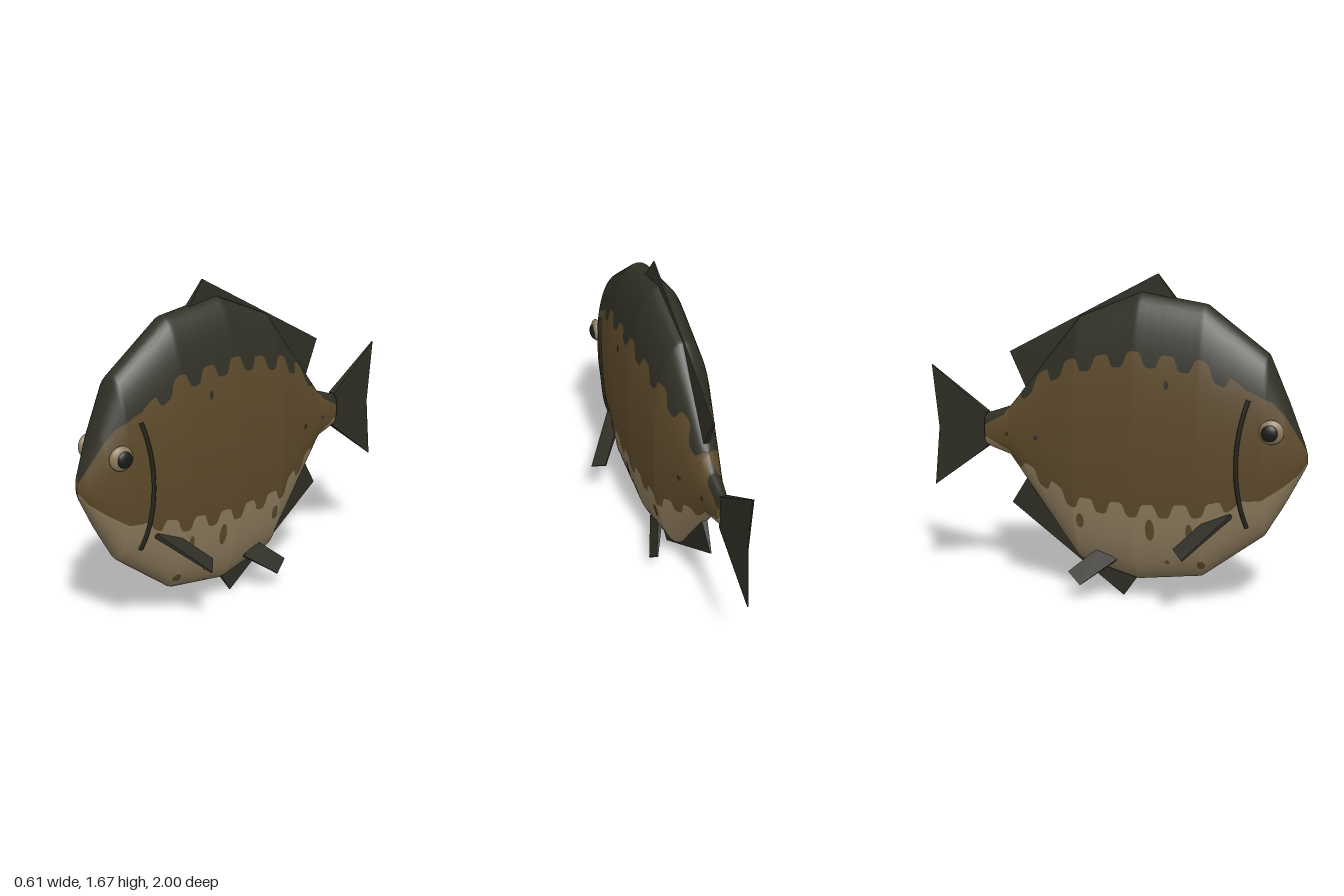
import * as THREE from 'three';
import { ConvexGeometry } from 'three/addons/geometries/ConvexGeometry.js';

const mat = (name, color, side = THREE.FrontSide) => {
  const m = new THREE.MeshStandardMaterial({ color, side });
  m.name = name;
  return m;
};
const V = (x, y, z) => new THREE.Vector3(x, y, z);

// Body stations from nose to tail: z, top y, bottom y, half width
const STATIONS = [
  [1, 0.825, 0.78, 0.008], [0.985, 0.875, 0.745, 0.04], [0.9, 1.085, 0.575, 0.1],
  [0.8, 1.31, 0.4, 0.137], [0.49, 1.54, 0.16, 0.175], [0.16, 1.59, 0.11, 0.182],
  [-0.16, 1.46, 0.19, 0.157], [-0.55, 0.975, 0.715, 0.055], [-0.65, 0.94, 0.745, 0.036],
  [-0.69, 0.93, 0.76, 0.032],
];
// Colour borders along the body: z, y
const BACK_EDGE = [
  [1, 0.83], [0.985, 0.87], [0.9, 1.02], [0.84, 1.09], [0.74, 1.14], [0.65, 1.17], [0.5, 1.25],
  [0.15, 1.28], [-0.18, 1.22], [-0.35, 1.14], [-0.5, 1.02], [-0.58, 0.93], [-0.69, 0.87],
];
const BELLY_EDGE = [
  [1, 0.79], [0.97, 0.74], [0.9, 0.68], [0.8, 0.61], [0.7, 0.6], [0.57, 0.55], [0.4, 0.53],
  [0.2, 0.515], [-0.1, 0.52], [-0.2, 0.54], [-0.35, 0.62], [-0.45, 0.66], [-0.55, 0.74], [-0.69, 0.81],
];
const P = 0.92; // slightly squared ellipse

// Linear lookup in a table sorted by falling z
function lookup(table, z, col) {
  let i = 0;
  while (i < table.length - 2 && z < table[i + 1][0]) i++;
  const a = table[i], b = table[i + 1];
  const t = THREE.MathUtils.clamp((a[0] - z) / (a[0] - b[0]), 0, 1);
  return a[col] + (b[col] - a[col]) * t;
}
function section(z) {
  const top = lookup(STATIONS, z, 1), bottom = lookup(STATIONS, z, 2);
  return { c: (top + bottom) / 2, h: (top - bottom) / 2, w: lookup(STATIONS, z, 3) };
}
function angleAt(s, y) {
  const u = THREE.MathUtils.clamp((y - s.c) / s.h, -1, 1);
  return Math.acos(Math.sign(u) * Math.abs(u) ** (1 / P));
}
function surfaceX(z, y) {
  const s = section(z);
  return s.w * Math.abs(Math.sin(angleAt(s, y))) ** P;
}
// Rounded scallops that fade out toward the head and tail
function scallop(z, crest, period) {
  const fade = THREE.MathUtils.smoothstep(z, -0.6, -0.42) * (1 - THREE.MathUtils.smoothstep(z, 0.62, 0.74));
  return 0.036 * fade * Math.tanh(2.5 * (Math.cos(((z - crest) / period) * 2 * Math.PI) + 0.1));
}

// Lofted body with back, flank and belly bands
function bodyGeometry() {
  const slices = 170, n = 8, half = 3 * n, ring = 2 * half;
  const pos = [], idx = [[], [], []];
  for (let i = 0; i <= slices + 1; i++) {
    const z = 1 - 1.69 * Math.min(i / slices, 1);
    const s = section(z);
    const k = i > slices ? 0.01 : 1; // last ring closes the tail stem
    const a = angleAt(s, lookup(BACK_EDGE, z, 1) + scallop(z, 0.5, 0.17));
    const b = Math.max(a, angleAt(s, lookup(BELLY_EDGE, z, 1) + scallop(z, 0.57, 0.165)));
    const stops = [0, a, b, Math.PI];
    for (let j = 0; j < ring; j++) {
      const q = j <= half ? j : ring - j;
      const band = Math.min(2, Math.floor(q / n));
      const t = stops[band] + (stops[band + 1] - stops[band]) * (q / n - band);
      const cos = Math.cos(t);
      const x = s.w * Math.abs(Math.sin(t)) ** P * (j <= half ? 1 : -1);
      pos.push(x * k, s.c + s.h * k * Math.sign(cos) * Math.abs(cos) ** P, z);
      if (i > slices) continue;
      const face = Math.floor((j < half ? j : ring - 1 - j) / n);
      const p0 = i * ring + j, p1 = i * ring + (j + 1) % ring;
      idx[face].push(p0, p1, p0 + ring, p1, p1 + ring, p0 + ring);
    }
  }
  // Nose cap
  for (let j = 1; j < ring - 1; j++) idx[1].push(0, j + 1, j);
  const g = new THREE.BufferGeometry();
  g.setAttribute('position', new THREE.Float32BufferAttribute(pos, 3));
  g.setIndex(idx.flat());
  let start = 0;
  idx.forEach((list, m) => { g.addGroup(start, list.length, m); start += list.length; });
  g.computeVertexNormals();
  return g;
}

// Flat fin tapering from a thick root edge to a thin tip edge
function finGeometry(root, tip, rootHalf, tipHalf) {
  const normal = root[1].clone().sub(root[0]).cross(tip[0].clone().sub(root[0])).normalize();
  const pts = [];
  for (const [edge, t] of [[root, rootHalf], [tip, tipHalf]])
    for (const p of edge)
      for (const s of [-1, 1]) pts.push(p.clone().addScaledVector(normal, s * t));
  return new ConvexGeometry(pts);
}

// Small patch lying on the skin
function spotGeometry(side, z0, y0, rz, ry) {
  const g = new THREE.CircleGeometry(1, 10), p = g.attributes.position;
  for (let i = 0; i < p.count; i++) {
    const z = z0 - side * p.getX(i) * rz, y = y0 + p.getY(i) * ry;
    p.setXYZ(i, side * (surfaceX(z, y) + 0.004), y, z);
  }
  g.computeVertexNormals();
  return g;
}

export function createModel() {
  const group = new THREE.Group();
  group.name = 'fish';
  const back = mat('dark olive back', 0x303026);
  const flank = mat('brown flank', 0x5d4a2b);
  const belly = mat('tan belly', 0x8e7c5e);
  const fin = mat('dark fin', 0x2f2e25);
  const iris = mat('pale iris', 0x8c7b5c);
  const pupil = mat('black pupil', 0x1c1c19);
  const gill = mat('gill line', 0x26251b);
  const add = (name, geo, material) => {
    const m = new THREE.Mesh(geo, material);
    m.name = name;
    group.add(m);
    return m;
  };

  add('body', bodyGeometry(), [back, flank, belly]);

  // Middle fins
  add('dorsalFin', finGeometry([V(0, 1.5, 0.38), V(0, 1.0, -0.42)],
    [V(0, 1.68, 0.24), V(0, 1.26, -0.55)], 0.02, 0.003), fin);
  add('analFin', finGeometry([V(0, 0.2, 0.2), V(0, 0.66, -0.42)],
    [V(0, 0.005, 0.07), V(0, 0.455, -0.55)], 0.02, 0.003), fin);
  add('tailFinUpper', finGeometry([V(0, 0.935, -0.68), V(0, 0.84, -0.68)],
    [V(0, 1.17, -0.998), V(0, 0.835, -0.965)], 0.02, 0.003), fin);
  add('tailFinLower', finGeometry([V(0, 0.84, -0.68), V(0, 0.75, -0.68)],
    [V(0, 0.835, -0.965), V(0, 0.515, -0.998)], 0.02, 0.003), fin);

  for (const s of [1, -1]) {
    const side = s > 0 ? 'left' : 'right';

    // Paired fins
    add(side + 'PectoralFin', finGeometry([V(s * 0.13, 0.525, 0.66), V(s * 0.11, 0.5, 0.55)],
      [V(s * 0.303, 0.327, 0.455), V(s * 0.24, 0.36, 0.395)], 0.013, 0.004), fin);
    add(side + 'PelvicFin', finGeometry([V(s * 0.09, 0.225, 0.06), V(s * 0.08, 0.275, -0.04)],
      [V(s * 0.168, 0.095, -0.115), V(s * 0.15, 0.155, -0.185)], 0.012, 0.004), fin);

    // Eye with domed pupil
    const white = add(side + 'Eye', new THREE.SphereGeometry(0.06, 24, 16), iris);
    white.scale.x = 0.45;
    white.position.set(s * 0.128, 0.955, 0.842);
    white.rotation.y = s * -0.15;
    const dot = add(side + 'Pupil', new THREE.SphereGeometry(0.042, 20, 14), pupil);
    dot.scale.x = 0.5;
    dot.position.set(s * 0.144, 0.953, 0.834);

    // Gill line bowed over the cheek
    const path = [];
    for (let i = 0; i <= 10; i++) {
      const t = i / 5 - 1, y = 0.785 - 0.32 * t, z = 0.678 + 0.05 * t * t;
      path.push(V(s * (surfaceX(z, y) + 0.002), y, z));
    }
    add(side + 'GillLine', new THREE.TubeGeometry(new THREE.CatmullRomCurve3(path), 30, 0.011, 8), gill);

    // Skin blotches: z, y, radius along z, radius along y
    const blotches = [[0.515, 0.415, 0.016, 0.025], [0.45, 0.425, 0.018, 0.045], [0.25, 0.42, 0.024, 0.06],
      [-0.125, 0.43, 0.022, 0.04], [0.5, 0.24, 0.02, 0.024], [0.33, 0.245, 0.012, 0.012]];
    for (const b of blotches) add(side + 'BellyBlotch', spotGeometry(s, ...b), flank);
    const flecks = [[0.33, 1.16, 0.012, 0.022], [-0.375, 0.835, 0.013, 0.013], [-0.555, 0.835, 0.011, 0.012]];
    for (const f of flecks) add(side + 'FlankFleck', spotGeometry(s, ...f), back);
  }
  return group;
}
